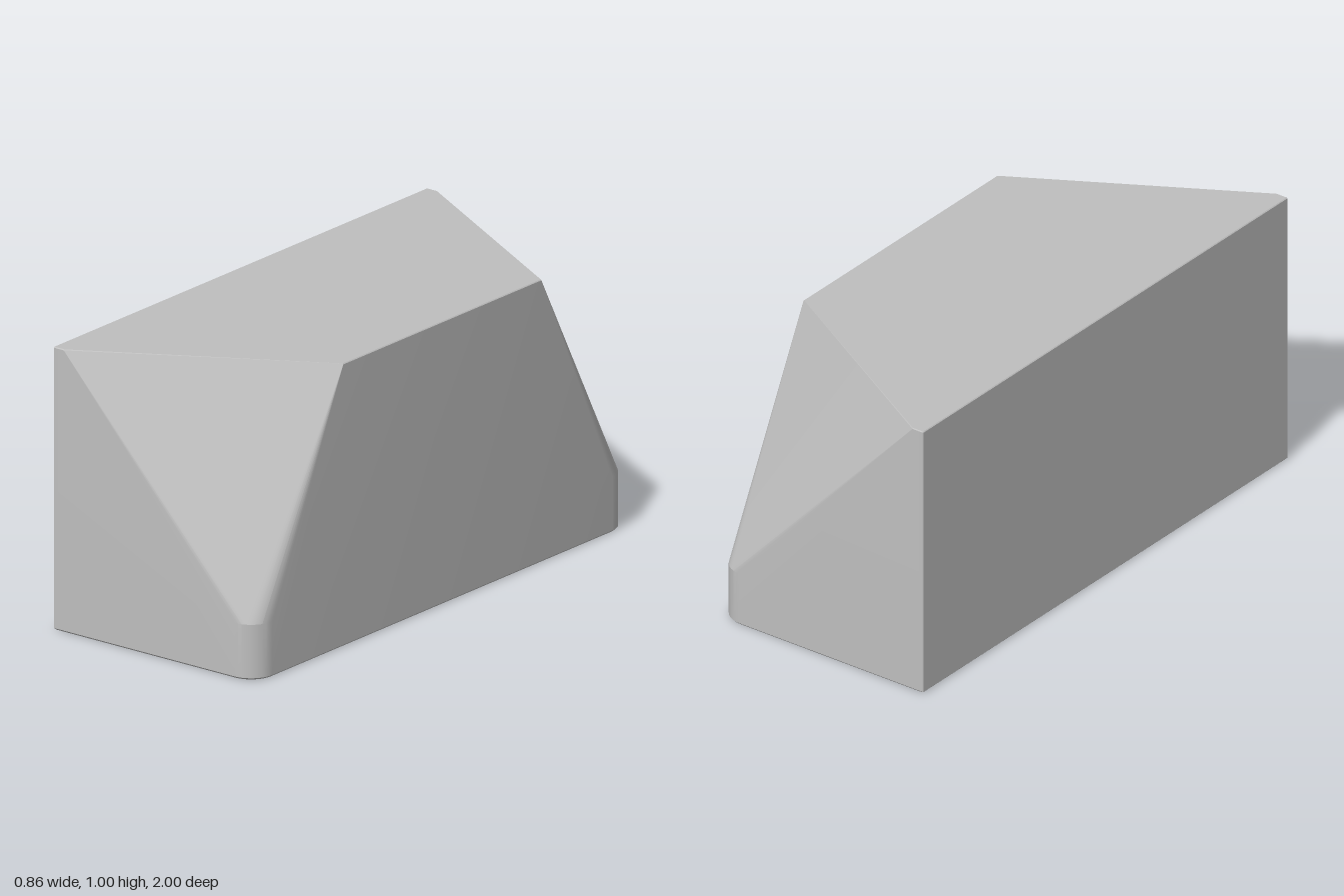
import * as THREE from 'three';
import { toCreasedNormals } from 'three/addons/utils/BufferGeometryUtils.js';
import { ConvexGeometry } from 'three/addons/geometries/ConvexGeometry.js';

const HALF_WIDTH = 0.43, HALF_LENGTH = 1, HEIGHT = 1;
const CORNER = 0.09, EDGE = 0.006, SHOULDER = 0.195;

export function createModel() {
  const group = new THREE.Group();
  const grey = new THREE.MeshStandardMaterial({ color: 0xbfbfbf });
  grey.name = 'plainGrey';
  const points = [];

  // Lower outline: rounded corners on the left side, sharp ones on the right
  function lowerOutline(y, inset) {
    for (const side of [-1, 1]) {
      const steps = 10;
      for (let i = 0; i <= steps; i++) {
        const a = (i / steps) * Math.PI / 2;
        const r = CORNER - inset;
        points.push(new THREE.Vector3(
          HALF_WIDTH - CORNER + r * Math.cos(a), y,
          side * (HALF_LENGTH - CORNER + r * Math.sin(a))));
      }
      rightCorner(y, side, inset);
    }
  }

  // Slightly broken vertical edge of the flat right side
  function rightCorner(y, side, inset) {
    const x = -HALF_WIDTH + inset, z = HALF_LENGTH - inset;
    points.push(new THREE.Vector3(x, y, side * (z - EDGE / 2)));
    points.push(new THREE.Vector3(x + EDGE / 2, y, side * z));
  }

  // Upper outline: a trapezoid, so that slanted facets cut both left corners
  function upperOutline(y, inset) {
    for (const side of [-1, 1]) {
      rightCorner(y, side, inset);
      points.push(new THREE.Vector3(-0.385, y, side * (HALF_LENGTH - inset)));
      points.push(new THREE.Vector3(HALF_WIDTH - inset, y, side * 0.53));
    }
  }

  lowerOutline(0, EDGE);
  lowerOutline(EDGE, 0);
  lowerOutline(SHOULDER, 0);
  upperOutline(HEIGHT - EDGE / 2, 0);
  upperOutline(HEIGHT, EDGE / 2);

  const body = new THREE.Mesh(toCreasedNormals(new ConvexGeometry(points), 0.25), grey);
  body.name = 'facetedBlock';
  group.add(body);
  return group;
}
